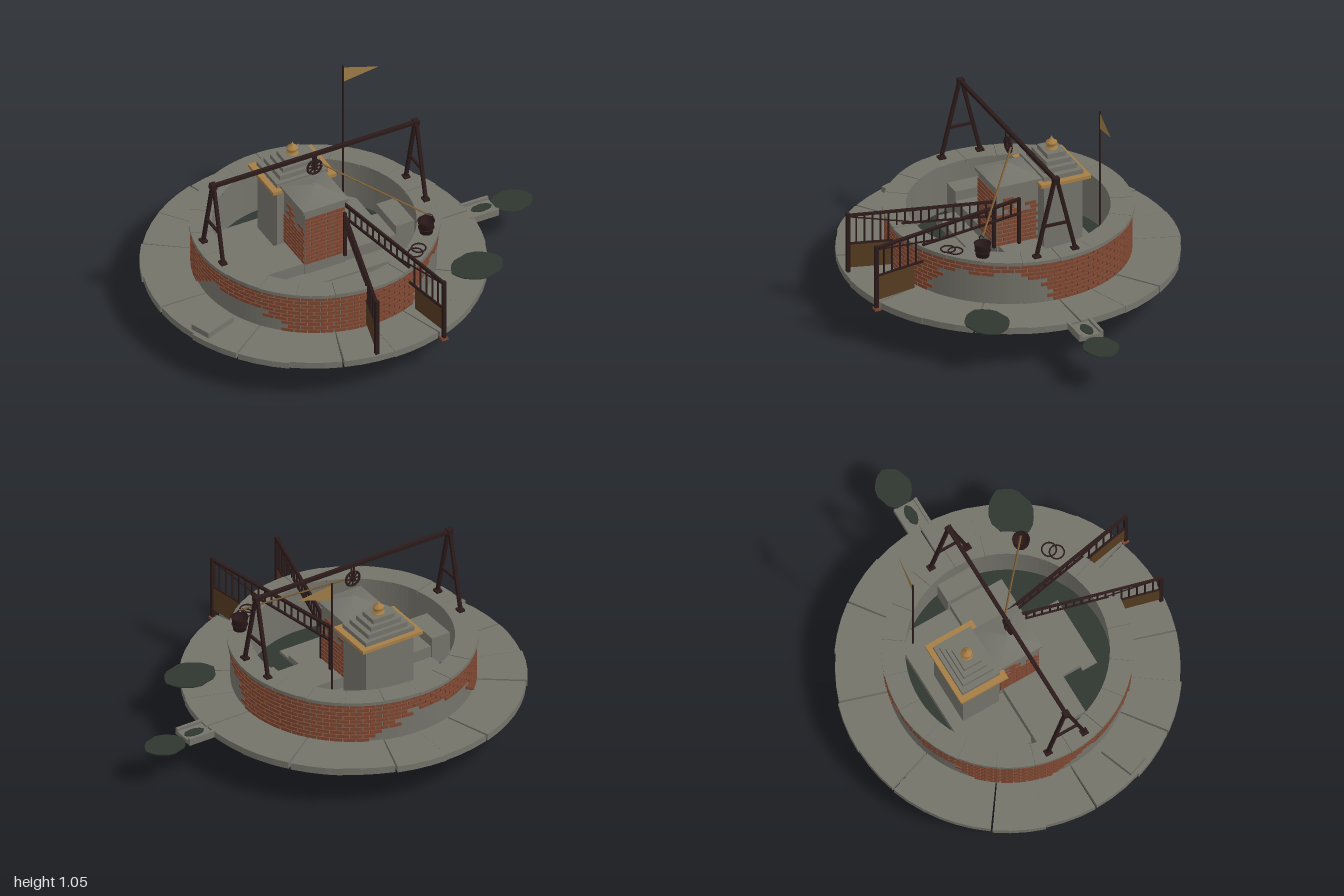
import * as THREE from 'three';
import { mergeGeometries } from 'three/addons/utils/BufferGeometryUtils.js';

const mat = (name, color, extra = {}) => new THREE.MeshStandardMaterial({ name, color, ...extra });
const CX = -0.17; // the well's axis
const RAD = Math.PI / 180;
const V = (x, y, z) => new THREE.Vector3(x, y, z);

export function createModel() {
  const stone = mat('stone', 0x74736a), brick = mat('brick', 0x7d4732), moss = mat('dark water', 0x2e372f);
  const iron = mat('dark iron', 0x2c1a1a), wood = mat('brown wood', 0x553b20);
  const gold = mat('gold', 0xa67e46), rope = mat('rope', 0x7a5c34), cloth = mat('flag cloth', 0xa07c48, { side: THREE.DoubleSide });
  const root = new THREE.Group();
  root.name = 'walledWell';

  // ---- helpers
  const add = (name, geo, material) => {
    const m = new THREE.Mesh(geo, material);
    m.name = name;
    root.add(m);
    return m;
  };
  const boxGeo = (x0, x1, y0, y1, z0, z1) =>
    new THREE.BoxGeometry(x1 - x0, y1 - y0, z1 - z0).translate((x0 + x1) / 2, (y0 + y1) / 2, (z0 + z1) / 2);
  const box = (name, material, ...b) => add(name, boxGeo(...b), material);
  const barGeo = (a, b, w) => {
    const d = b.clone().sub(a);
    const g = new THREE.BoxGeometry(w, d.length(), w);
    g.applyQuaternion(new THREE.Quaternion().setFromUnitVectors(V(0, 1, 0), d.normalize()));
    return g.translate((a.x + b.x) / 2, (a.y + b.y) / 2, (a.z + b.z) / 2);
  };
  const hash = (a, b) => {
    const s = Math.sin(a * 12.99 + b * 78.23) * 43758.55;
    return s - Math.floor(s);
  };
  // sector of a flat ring, angle measured from +x towards +z
  const sectorGeo = (r0, r1, a0, a1, y0, y1, n, gap = 0) => {
    const s = new THREE.Shape();
    const at = (r, t) => {
      const a = a0 + gap / r + (a1 - a0 - 2 * gap / r) * t;
      return [r * Math.cos(a), -r * Math.sin(a)];
    };
    s.moveTo(...at(r0, 0));
    for (let i = 0; i <= n; i++) s.lineTo(...at(r1, i / n));
    for (let i = n; i > 0; i--) s.lineTo(...at(r0, i / n));
    const g = new THREE.ExtrudeGeometry(s, { depth: y1 - y0, bevelEnabled: false });
    return g.rotateX(-Math.PI / 2).translate(CX, y0, 0);
  };
  const ringGeo = (r0, r1, depth, n) => {
    const s = new THREE.Shape().absarc(0, 0, r1, 0, Math.PI * 2);
    s.holes.push(new THREE.Path().absarc(0, 0, r0, 0, Math.PI * 2, true));
    return new THREE.ExtrudeGeometry(s, { depth, bevelEnabled: false, curveSegments: n });
  };

  // ---- paved apron of ten wedges, each of two slabs
  const slabs = [];
  for (let i = 0; i < 20; i++) {
    const r = 0.822 + 0.014 * hash(i, 3);
    const a = i * 18 * RAD, b = a + 18 * RAD;
    const start = a + (i % 2 ? 0 : 0.006), end = b - (i % 2 ? 0.006 : 0);
    slabs.push(sectorGeo(0.52, r, start, end, 0.2, 0.232 + 0.004 * hash(i, 8), 3));
  }
  add('apron', mergeGeometries(slabs), stone);

  // ---- round wall, brick facing with worn plaster patches, coping
  add('wallCore', ringGeo(0.5, 0.584, 0.25, 64).rotateX(-Math.PI / 2).translate(CX, 0.2, 0), stone);
  const patches = [[34, 31, 0.165], [160, 28, 0.11], [260, 33, 0.12]];
  const bricks = [], ROWS = 10, PER = 58;
  for (let row = 0; row < ROWS; row++) {
    for (let k = 0; k < PER; k++) {
      const deg = ((k + (row % 2) / 2) / PER) * 360;
      let bare = 0;
      for (const [c, half, h] of patches) {
        const d = Math.abs(deg - c) / half;
        if (d < 1) bare = h * (1 - d ** 4) + 0.05 * (hash(k, row % 3) - 0.5);
      }
      const y = 0.246 + row * 0.021;
      if (y - 0.236 < bare) continue;
      const a = deg * RAD;
      bricks.push(new THREE.BoxGeometry(0.02, 0.0165, 0.058).translate(0.582, 0, 0).rotateY(-a).translate(CX, y, 0));
    }
  }
  add('wallBricks', mergeGeometries(bricks), brick);
  const coping = [];
  for (let i = 0; i < 20; i++)
    coping.push(sectorGeo(0.488, 0.598 + 0.005 * hash(i, 1), i * 18 * RAD, (i + 1) * 18 * RAD, 0.446, 0.462 + 0.004 * hash(i, 5), 3, 0.001));
  add('coping', mergeGeometries(coping), stone);

  // ---- water floor, platform, arms and steps inside
  add('waterFloor', new THREE.CylinderGeometry(0.505, 0.505, 0.015, 48).translate(CX, 0.2, 0), moss);
  box('platform', stone, -0.56, 0.22, 0.19, 0.25, -0.39, 0.2);
  box('upperStep', stone, -0.345, 0.0, 0.19, 0.24, 0.2, 0.3);
  box('lowerStep', stone, -0.365, 0.0, 0.19, 0.222, 0.3, 0.38);
  box('crossArm', stone, -0.655, 0.315, 0.2, 0.31, -0.09, 0.1);
  for (const s of [-1, 1]) {
    box('armEnd', stone, CX + s * 0.435 - 0.05, CX + s * 0.435 + 0.05, 0.2, 0.36, -0.1, 0.1);
    box('outletDuct', stone, CX + s * 0.47 - 0.105, CX + s * 0.47 + 0.105, 0.1, 0.2, -0.02, 0.22);
  }

  // ---- foundations and drain pipe underneath
  box('foundation', stone, -0.51, 0.17, 0.095, 0.2, -0.08, -0.03);
  const face = (w, rows, y0, keep) => { // flat brickwork centred on x, facing +z
    const out = [], n = Math.ceil(w / 0.058);
    for (let r = 0; r < rows; r++) for (let k = 0; k <= n; k++) {
      const x0 = Math.max(-w / 2, -w / 2 + (k - (r % 2) / 2) * 0.058);
      const x1 = Math.min(w / 2, -w / 2 + (k + 1 - (r % 2) / 2) * 0.058 - 0.004);
      if (x1 - x0 > 0.008 && keep(r, k)) out.push(boxGeo(x0, x1, y0 + r * 0.021, y0 + r * 0.021 + 0.0165, 0, 0.01));
    }
    return mergeGeometries(out);
  };
  box('foundationCore', stone, -0.505, 0.165, 0.095, 0.2, -0.03, -0.008);
  add('foundationBricks', face(0.68, 5, 0.097, () => true).translate(CX, 0, -0.01), brick);
  add('drainPipe', ringGeo(0.112, 0.126, 0.34, 24).translate(CX, 0.126, -0.31), stone);
  add('drainWater', new THREE.CylinderGeometry(0.113, 0.113, 0.32, 32).rotateX(Math.PI / 2).translate(CX, 0.126, -0.14), moss);

  // ---- front tower with pyramid roof and exposed bricks
  box('frontTower', stone, CX - 0.107, CX + 0.107, 0.2, 0.62, -0.107, 0.107);
  box('frontTowerEave', stone, CX - 0.122, CX + 0.122, 0.615, 0.632, -0.122, 0.122);
  add('frontTowerRoof', new THREE.CylinderGeometry(0.012, 0.17, 0.05, 4).rotateY(Math.PI / 4).translate(CX, 0.657, 0), stone);
  const worn = seed => (r, k) => r < 5 + 9 * hash(k, seed);
  add('towerBricksFront', face(0.21, 13, 0.31, worn(2)).translate(CX, 0, 0.102), brick);
  for (const s of [-1, 1])
    add('towerBricksSide', face(0.21, 13, 0.31, worn(4)).rotateY(s * Math.PI / 2).translate(CX + s * 0.102, 0, 0), brick);

  // ---- rear tower with gold cornice, stepped roof and finial
  const TZ = -0.227;
  box('rearTower', stone, CX - 0.135, CX + 0.135, 0.2, 0.61, TZ - 0.1, TZ + 0.1);
  box('cornice', gold, CX - 0.17, CX + 0.17, 0.603, 0.62, TZ - 0.13, TZ + 0.13);
  [[0.138, 0.104, 0.62, 0.643], [0.11, 0.084, 0.643, 0.668], [0.085, 0.066, 0.668, 0.692], [0.06, 0.048, 0.692, 0.716]]
    .forEach(([w, d, y0, y1]) => box('roofStep', stone, CX - w, CX + w, y0, y1, TZ - d, TZ + d));
  const finial = [[0.03, 0], [0.03, 0.008], [0.016, 0.013], [0.028, 0.026], [0.027, 0.036], [0.012, 0.046], [0.006, 0.056], [0, 0.068]];
  add('finial', new THREE.LatheGeometry(finial.map(p => new THREE.Vector2(...p)), 16).translate(CX, 0.714, TZ), gold);

  // ---- hoist frame: beam and two trestles
  const frame = [barGeo(V(-0.735, 0.859, 0), V(0.392, 0.859, 0), 0.018)];
  for (const x of [-0.715, 0.375]) {
    for (const s of [-1, 1]) {
      frame.push(barGeo(V(x, 0.462, s * 0.103), V(x, 0.868, s * 0.004), 0.016));
      frame.push(boxGeo(x - 0.016, x + 0.016, 0.462, 0.474, s * 0.1 - 0.018, s * 0.1 + 0.018));
    }
    frame.push(barGeo(V(x, 0.62, -0.064), V(x, 0.62, 0.064), 0.012));
    frame.push(boxGeo(x - 0.014, x + 0.014, 0.845, 0.873, -0.016, 0.016));
  }
  add('hoistFrame', mergeGeometries(frame), iron);

  // ---- pulley wheel, rope, bucket and spare rings
  const wheel = [new THREE.TorusGeometry(0.038, 0.006, 6, 24), new THREE.CylinderGeometry(0.01, 0.01, 0.03, 10).rotateX(Math.PI / 2)];
  for (let i = 0; i < 4; i++) wheel.push(new THREE.BoxGeometry(0.076, 0.006, 0.006).rotateZ(i * Math.PI / 4));
  for (const s of [-1, 1]) wheel.push(boxGeo(-0.005, 0.005, -0.005, 0.078, s * 0.012 - 0.002, s * 0.012 + 0.002));
  add('pulley', mergeGeometries(wheel), iron).position.set(CX, 0.782, 0);
  add('hoistRope', barGeo(V(-0.135, 0.79, 0), V(0.26, 0.572, 0.33), 0.007), rope);
  const bucketShape = [[0, 0], [0.032, 0], [0.04, 0.066], [0.043, 0.07], [0.036, 0.07], [0.029, 0.01], [0, 0.01]];
  const bucket = mergeGeometries([
    new THREE.LatheGeometry(bucketShape.map(p => new THREE.Vector2(...p)), 16),
    new THREE.TorusGeometry(0.038, 0.0025, 5, 16, Math.PI).translate(0, 0.068, 0),
    new THREE.TorusGeometry(0.037, 0.003, 5, 18).rotateX(Math.PI / 2).translate(0, 0.03, 0),
  ]);
  add('bucket', bucket, iron).position.set(0.258, 0.464, 0.33);
  for (const [x, z] of [[0.135, 0.455], [0.165, 0.43]])
    add('ropeCoil', new THREE.TorusGeometry(0.035, 0.004, 5, 24).rotateX(Math.PI / 2).translate(x, 0.469, z), iron);

  // ---- pair of railings leading in across the wall
  for (const [ix, iz, ox, oz] of [[-0.07, 0.12, -0.255, 0.8], [-0.045, 0, 0.1, 0.815]]) {
    const at = (t, y) => V(ix + (ox - ix) * t, y, iz + (oz - iz) * t);
    const top = t => 0.549 - 0.012 * t;
    const wall = (0.55 - iz) / (oz - iz); // where the railing leaves the wall
    const rails = [
      barGeo(at(0, top(0)), at(1, top(1)), 0.014),
      barGeo(at(0, 0.472), at(wall, 0.472), 0.01),
      barGeo(at(wall, 0.385), at(1, 0.385), 0.01),
      barGeo(at(0.5, 0.468), at(1, 0.53), 0.006),
      barGeo(at(1, 0.21), at(1, 0.548), 0.018),
      barGeo(at(0, 0.3), at(0, 0.555), 0.014),
    ];
    const n = 18;
    for (let i = 1; i < n; i++) rails.push(barGeo(at(i / n, i / n < wall ? 0.47 : 0.385), at(i / n, top(i / n)), 0.007));
    add('railing', mergeGeometries(rails), iron);
    const a = at(wall + 0.06, 0), b = at(1, 0);
    const panel = new THREE.BoxGeometry(0.009, 0.125, a.distanceTo(b)).rotateY(Math.atan2(b.x - a.x, b.z - a.z));
    add('railingPanel', panel.translate((a.x + b.x) / 2, 0.32, (a.z + b.z) / 2), wood);
    box('railingFoot', brick, ox - 0.016, ox + 0.016, 0.203, 0.216, oz - 0.02, oz + 0.012);
  }

  // ---- flag
  add('flagPole', new THREE.CylinderGeometry(0.005, 0.005, 0.82, 8).translate(0.158, 0.64, -0.33), iron);
  const flag = new THREE.BufferGeometry().setFromPoints([V(0.16, 0.955, -0.33), V(0.336, 1.0, -0.306), V(0.16, 1.04, -0.33)]);
  flag.computeVertexNormals();
  add('flag', flag, cloth);

  // ---- overflow spout, puddles and loose slab on the apron
  box('spout', stone, 0.64, 0.79, 0.2, 0.222, -0.06, 0.065);
  for (const z of [-0.052, 0.057]) box('spoutCurb', stone, 0.64, 0.79, 0.222, 0.236, z - 0.008, z + 0.008);
  const puddle = (x, y, z, rx, rz) => {
    const s = new THREE.Shape();
    for (let i = 0; i < 20; i++) {
      const a = i * 18 * RAD, k = 1 - 0.08 * hash(i % 10, 6) * (i % 5 ? 1 : 0);
      s[i ? 'lineTo' : 'moveTo'](rx * k * Math.cos(a), rz * k * Math.sin(a));
    }
    const g = new THREE.ExtrudeGeometry(s, { depth: 0.005, bevelEnabled: false });
    add('puddle', g.rotateX(-Math.PI / 2).translate(x, y, z), moss);
  };
  puddle(0.892, 0.205, 0, 0.108, 0.088);
  puddle(0.728, 0.221, 0, 0.055, 0.028);
  puddle(0.488, 0.235, 0.412, 0.135, 0.108);
  const slab = new THREE.BoxGeometry(0.18, 0.03, 0.11).rotateY(0.35);
  add('looseSlab', slab.translate(-0.845, 0.25, 0.242), stone);
  return root;
}
